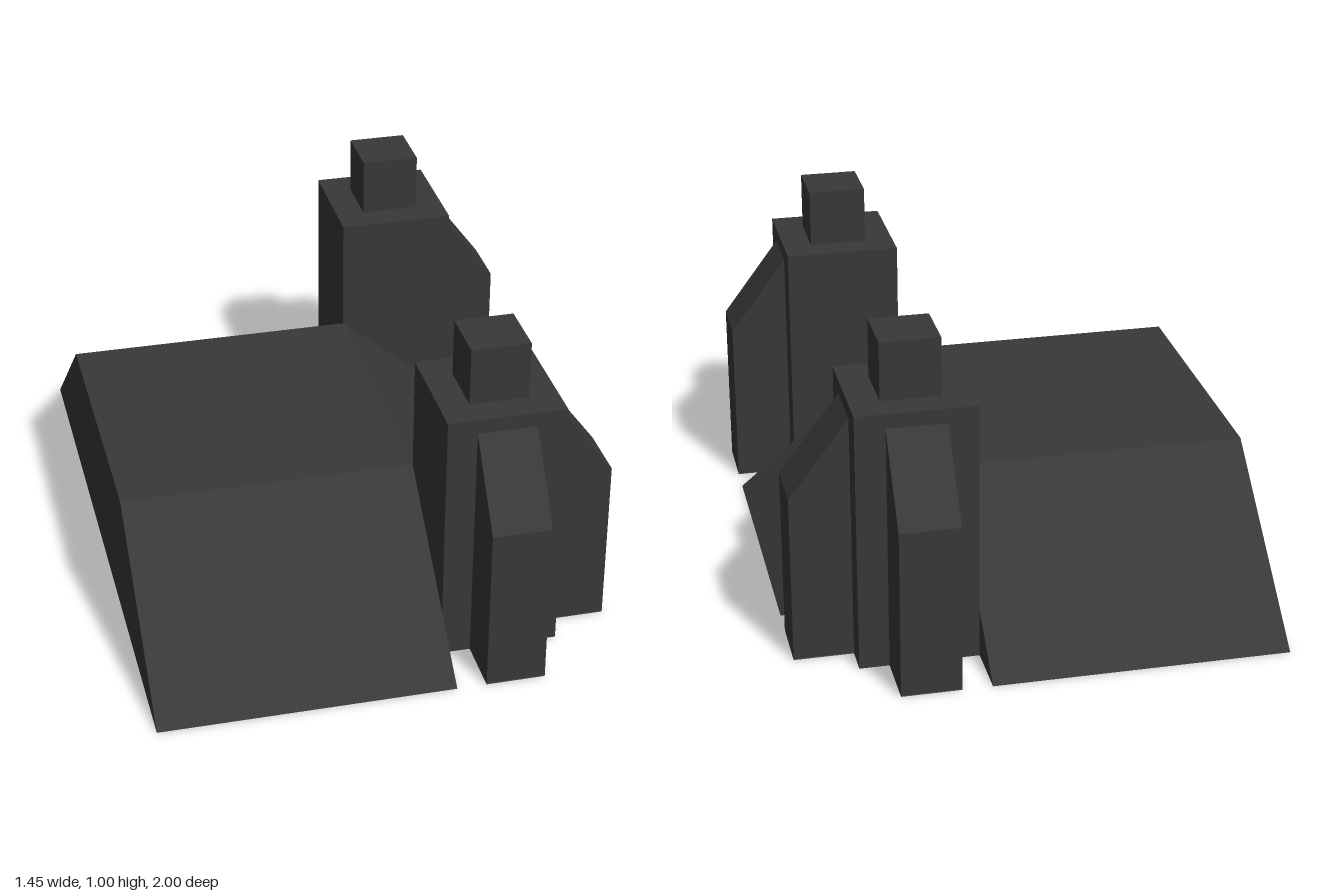
import * as THREE from 'three';

const U = 1 / 11; // modelling grid: the longest side is 22 units

export function createModel() {
  const stone = new THREE.MeshStandardMaterial({ color: 0x383838, flatShading: true });
  stone.name = 'dark stone';
  const sole = new THREE.MeshStandardMaterial({ color: 0x59524b, flatShading: true });
  sole.name = 'brown sole';

  const model = new THREE.Group();
  model.name = 'rampWithTowers';

  const add = (parent, name, geometry, material = stone) => {
    const mesh = new THREE.Mesh(geometry, material);
    mesh.name = name;
    parent.add(mesh);
    return mesh;
  };
  const box = (w, h, d, x, y, z) =>
    new THREE.BoxGeometry(w, h, d).translate(x, y + h / 2, z);
  const prism = (points, depth) =>
    new THREE.ExtrudeGeometry(
      new THREE.Shape(points.map(([x, y]) => new THREE.Vector2(x, y))),
      { depth, bevelEnabled: false }
    );

  // Platform with a slope at the front and the back
  add(model, 'platform',
    prism([[-11, 0], [11, 0], [5, 5], [-5, 5]], 10).rotateY(Math.PI / 2).translate(-8, 0, 0));

  // Slope on the left side, between the towers
  add(model, 'sideRamp', prism([[2, 0], [8, 0], [2, 5]], 10).translate(0, 0, -5));

  // Two towers, each with an outer and an end buttress
  const plate = 0.03;
  for (const side of [1, -1]) {
    const tower = new THREE.Group();
    tower.name = side > 0 ? 'frontTower' : 'backTower';
    tower.position.set(4, 0, 7 * side);
    add(tower, 'towerBody', box(4, 9, 4, 0, 0, 0));
    add(tower, 'towerCap', box(2, 2, 2, 0, 9, 0));

    for (const [name, turn] of [['sideButtress', 0], ['endButtress', -side * Math.PI / 2]]) {
      const buttress = new THREE.Group();
      buttress.name = name;
      buttress.rotation.y = turn;
      add(buttress, 'buttressBody',
        prism([[2, plate], [4, plate], [4, 5.83], [2, 8.5]], 2).translate(0, 0, -1));
      add(buttress, 'buttressSole', box(2, plate, 2, 3, 0, 0), sole);
      tower.add(buttress);
    }
    model.add(tower);
  }

  model.scale.setScalar(U);
  return model;
}
